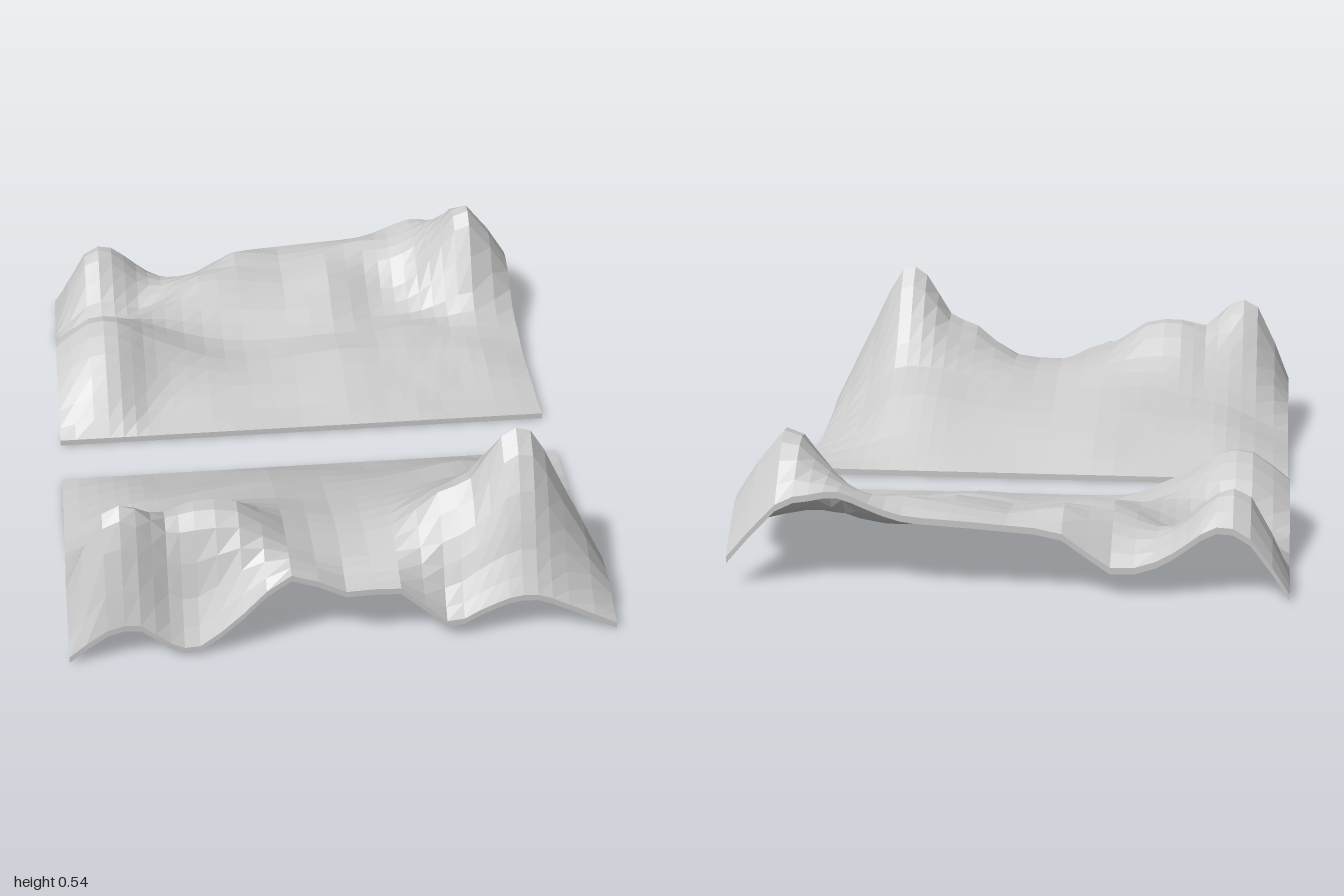
import * as THREE from 'three';

// Shared stations across the width; each slab lists one height profile per z station
const X = [-0.757, -0.65, -0.56, -0.48, -0.4, -0.28, -0.15, 0, 0.15, 0.28, 0.37, 0.45, 0.53, 0.62, 0.757];
const THICKNESS = 0.018;
const flatEdge = X.map(() => 0.02);

const backSlab = [
  { z: -1.0, h: [0.02, 0.17, 0.2, 0.15, 0.1, 0.08, 0.17, 0.19, 0.2, 0.21, 0.24, 0.27, 0.26, 0.23, 0.08] },
  { z: -0.92, h: [0.04, 0.24, 0.26, 0.19, 0.14, 0.15, 0.22, 0.2, 0.22, 0.24, 0.24, 0.27, 0.31, 0.33, 0.16] },
  { z: -0.84, h: [0.03, 0.24, 0.24, 0.17, 0.15, 0.19, 0.21, 0.19, 0.22, 0.2, 0.21, 0.25, 0.33, 0.395, 0.21] },
  { z: -0.76, h: [0.02, 0.13, 0.14, 0.11, 0.14, 0.2, 0.2, 0.18, 0.2, 0.15, 0.14, 0.19, 0.29, 0.36, 0.18] },
  { z: -0.65, h: [0.07, 0.11, 0.12, 0.14, 0.16, 0.16, 0.15, 0.14, 0.14, 0.1, 0.1, 0.11, 0.14, 0.17, 0.1] },
  { z: -0.55, h: [0.12, 0.2, 0.2, 0.18, 0.15, 0.11, 0.09, 0.09, 0.1, 0.1, 0.11, 0.11, 0.1, 0.1, 0.07] },
  { z: -0.43, h: [0.17, 0.25, 0.25, 0.2, 0.16, 0.11, 0.08, 0.09, 0.11, 0.1, 0.1, 0.09, 0.09, 0.08, 0.04] },
  { z: -0.3, h: [0.13, 0.205, 0.2, 0.14, 0.1, 0.08, 0.07, 0.07, 0.08, 0.07, 0.06, 0.06, 0.05, 0.05, 0.03] },
  { z: -0.2, h: [0.07, 0.12, 0.11, 0.06, 0.05, 0.05, 0.04, 0.04, 0.05, 0.04, 0.04, 0.03, 0.03, 0.03, 0.02] },
  { z: -0.11, h: flatEdge },
];

const frontSlab = [
  { z: 0.11, h: flatEdge },
  { z: 0.25, h: [0.02, 0.05, 0.07, 0.07, 0.07, 0.08, 0.1, 0.09, 0.08, 0.09, 0.1, 0.1, 0.08, 0.05, 0.02] },
  { z: 0.4, h: [0.03, 0.08, 0.11, 0.12, 0.13, 0.15, 0.16, 0.14, 0.15, 0.17, 0.19, 0.19, 0.17, 0.1, 0.02] },
  { z: 0.55, h: [0.05, 0.1, 0.14, 0.16, 0.18, 0.2, 0.2, 0.18, 0.2, 0.22, 0.24, 0.25, 0.24, 0.16, 0.04] },
  { z: 0.67, h: [0.09, 0.18, 0.22, 0.24, 0.27, 0.27, 0.24, 0.21, 0.23, 0.28, 0.33, 0.38, 0.38, 0.26, 0.06] },
  { z: 0.78, h: [0.13, 0.29, 0.33, 0.33, 0.36, 0.35, 0.26, 0.22, 0.24, 0.34, 0.38, 0.51, 0.525, 0.36, 0.085] },
  { z: 0.88, h: [0.16, 0.4, 0.41, 0.33, 0.33, 0.33, 0.26, 0.21, 0.22, 0.24, 0.29, 0.37, 0.39, 0.26, 0.07] },
  { z: 0.94, h: [0.09, 0.31, 0.3, 0.17, 0.15, 0.23, 0.26, 0.19, 0.2, 0.13, 0.18, 0.23, 0.24, 0.16, 0.04] },
  { z: 1.0, h: [0.02, 0.1, 0.11, 0.045, 0.03, 0.13, 0.245, 0.18, 0.18, 0.06, 0.09, 0.125, 0.13, 0.09, 0.018] },
];

// Smooth curve through evenly numbered values, t from 0 to 1
function spline(values, t) {
  const last = values.length - 1;
  const i = Math.min(Math.floor(t * last), last - 1);
  const f = t * last - i;
  const at = (k) => values[Math.max(0, Math.min(last, k))];
  const [a, b, c, d] = [at(i - 1), at(i), at(i + 1), at(i + 2)];
  return b + 0.5 * f * (c - a + f * (2 * a - 5 * b + 4 * c - d + f * (3 * (b - c) + d - a)));
}

// A divided box whose top and bottom are draped over the height profiles
function terrain(name, rows, material) {
  const geometry = new THREE.BoxGeometry(1, 1, 1, (X.length - 1) * 2, 1, (rows.length - 1) * 2);
  const zs = rows.map((row) => row.z);
  const p = geometry.attributes.position;
  for (let i = 0; i < p.count; i++) {
    const u = THREE.MathUtils.clamp(p.getX(i) + 0.5, 0, 1);
    const v = THREE.MathUtils.clamp(p.getZ(i) + 0.5, 0, 1);
    const top = Math.max(THICKNESS, spline(rows.map((row) => spline(row.h, u)), v));
    const y = p.getY(i) > 0 ? top : top - THICKNESS;
    p.setXYZ(i, spline(X, u), y, spline(zs, v));
  }
  geometry.computeVertexNormals();
  const mesh = new THREE.Mesh(geometry, material);
  mesh.name = name;
  return mesh;
}

export function createModel() {
  const model = new THREE.Group();
  model.name = 'splitTerrain';
  const material = new THREE.MeshStandardMaterial({ color: 0xcccccc, flatShading: true });
  model.add(terrain('backTerrain', backSlab, material), terrain('frontTerrain', frontSlab, material));
  return model;
}
